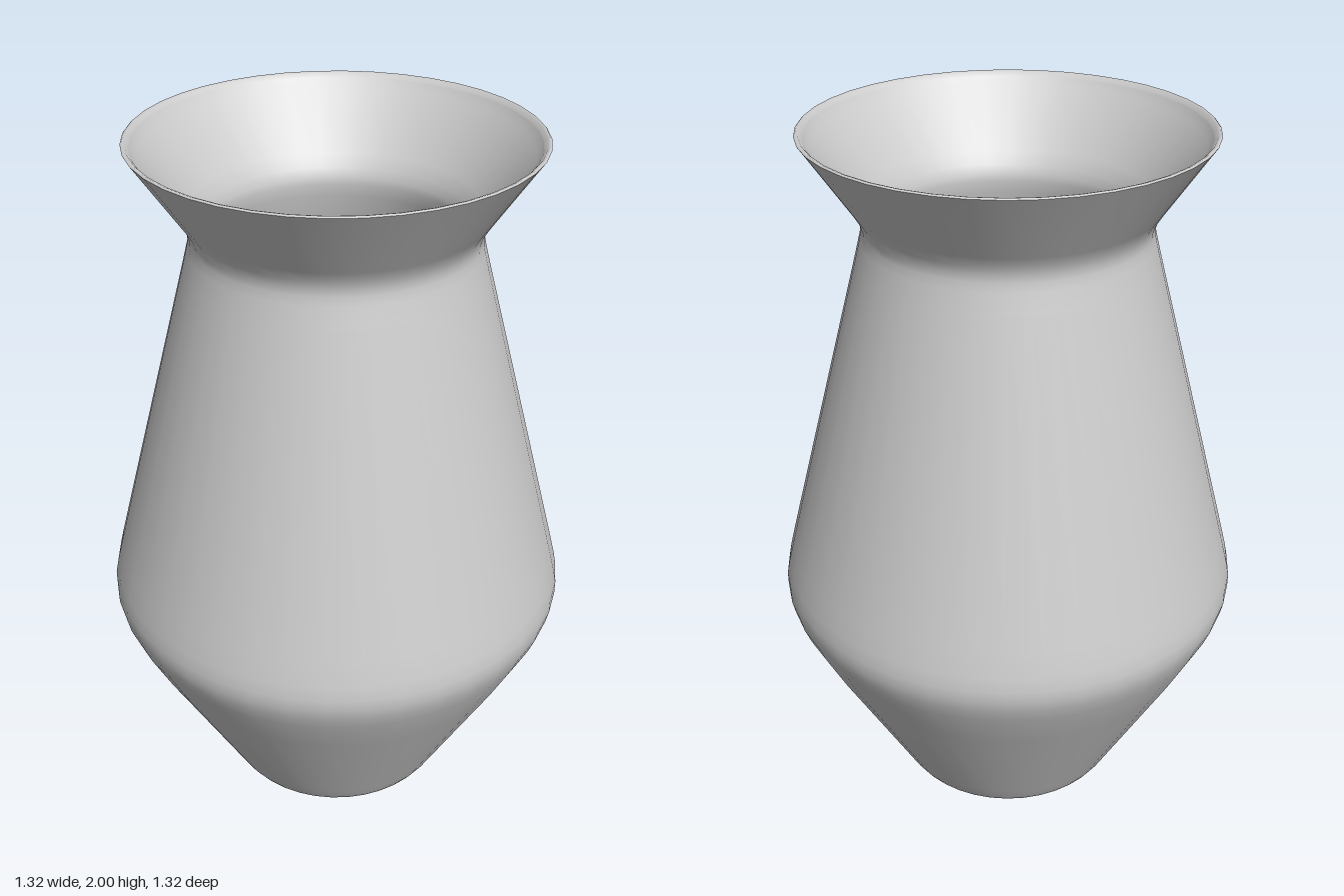
import * as THREE from 'three';

const SEGMENTS = 40;
const material = new THREE.MeshStandardMaterial({ color: 0xcccccc });

// Revolve a list of [radius, height] pairs around the y axis
function revolve(name, profile) {
  const points = profile.map(([r, y]) => new THREE.Vector2(r, y));
  const mesh = new THREE.Mesh(new THREE.LatheGeometry(points, SEGMENTS), material);
  mesh.name = name;
  return mesh;
}

export function createModel() {
  const vase = new THREE.Group();
  vase.name = 'vase';

  // Flat foot
  vase.add(revolve('foot', [[0, 0], [0.31, 0]]));

  // Outer wall: rounded foot edge, shoulder, neck and flared mouth
  vase.add(revolve('outerWall', [
    [0.31, 0], [0.325, 0.006], [0.338, 0.025], [0.36, 0.065],
    [0.57, 0.447], [0.602, 0.51], [0.632, 0.57], [0.65, 0.615], [0.658, 0.65],
    [0.658, 0.685], [0.65, 0.725], [0.635, 0.785],
    [0.41, 1.65], [0.396, 1.706], [0.391, 1.73], [0.391, 1.75], [0.398, 1.775],
    [0.415, 1.803], [0.535, 1.98], [0.546, 1.996],
  ]));

  // Thin lip
  vase.add(revolve('lip', [[0.546, 1.996], [0.542, 2], [0.535, 1.998], [0.526, 1.988]]));

  // Inner wall, offset from the outer one
  vase.add(revolve('innerWall', [
    [0.526, 1.988], [0.51, 1.965], [0.38, 1.815], [0.358, 1.78], [0.348, 1.755], [0.346, 1.735],
    [0.349, 1.7], [0.365, 1.64], [0.592, 0.775], [0.607, 0.715], [0.612, 0.67],
    [0.605, 0.625], [0.585, 0.575], [0.525, 0.455], [0.355, 0.12],
  ]));

  // Inside floor
  vase.add(revolve('innerFloor', [[0.355, 0.12], [0, 0.12]]));

  return vase;
}
